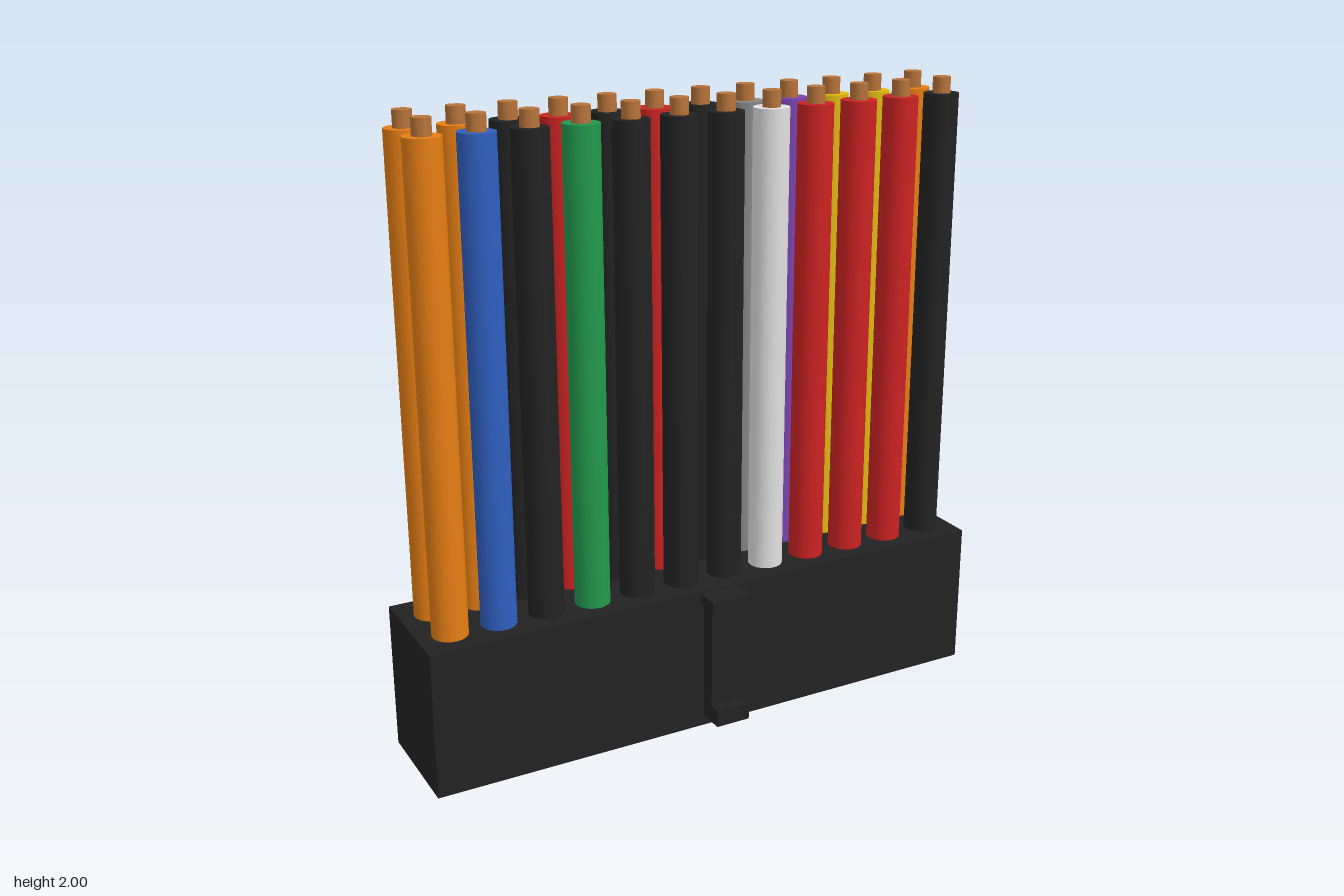
import * as THREE from 'three';

const mat = (name, color) => {
  const m = new THREE.MeshStandardMaterial({ color });
  m.name = name;
  return m;
};

export function createModel() {
  const group = new THREE.Group();
  group.name = 'wiredConnector';
  const M = {
    K: mat('black', 0x222222), O: mat('orange', 0xe67e14), B: mat('blue', 0x2f5fc0),
    N: mat('green', 0x22994d), W: mat('white', 0xe0e0e0), R: mat('red', 0xcc2222),
    G: mat('gray', 0x888888), P: mat('purple', 0x7a44b0), Y: mat('yellow', 0xdfba10),
    C: mat('copper', 0xb87339),
  };

  const add = (name, geometry, material, x, y, z) => {
    const mesh = new THREE.Mesh(geometry, material);
    mesh.name = name;
    mesh.position.set(x, y, z);
    group.add(mesh);
  };
  // Box given by its width and its y and z limits
  const box = (name, w, y0, y1, z0, z1) =>
    add(name, new THREE.BoxGeometry(w, y1 - y0, z1 - z0), M.K, 0, (y0 + y1) / 2, (z0 + z1) / 2);

  // Housing and its latch
  box('housing', 1.89, 0.02, 0.49, -0.23, 0.135);
  box('latchArm', 0.114, 0.12, 0.445, 0.145, 0.197);
  box('latchFoot', 0.114, 0.063, 0.12, 0.145, 0.234);
  box('latchHead', 0.134, 0.453, 0.49, 0.145, 0.224);

  // Square socket rim, laid flat
  const rim = new THREE.Shape();
  rim.moveTo(-0.06, -0.06).lineTo(0.06, -0.06).lineTo(0.06, 0.06).lineTo(-0.06, 0.06).closePath();
  const hole = new THREE.Path();
  hole.moveTo(-0.035, -0.035).lineTo(-0.035, 0.035).lineTo(0.035, 0.035).lineTo(0.035, -0.035).closePath();
  rim.holes.push(hole);
  const socket = new THREE.ExtrudeGeometry(rim, { depth: 0.012, bevelEnabled: false }).rotateX(-Math.PI / 2);

  const insulation = new THREE.CylinderGeometry(0.055, 0.055, 1.47, 24);
  const core = new THREE.CylinderGeometry(0.028, 0.028, 0.06, 16);
  const pin = new THREE.BoxGeometry(0.045, 0.02, 0.045);

  // Two rows of wires, each with a bare end, a socket and a pin
  const rows = [['OBKNKKKWRRRK', 0.031], ['OOKRKRKGPYYO', -0.123]];
  for (const [colours, z] of rows) {
    [...colours].forEach((c, i) => {
      const x = (i - 5.5) * 0.1535;
      add('wire', insulation, M[c], x, 1.215, z);
      add('bareEnd', core, M.C, x, 1.97, z);
      add('socket', socket, M.K, x, 0.008, z);
      add('pin', pin, M.G, x, 0.01, z);
    });
  }
  return group;
}
